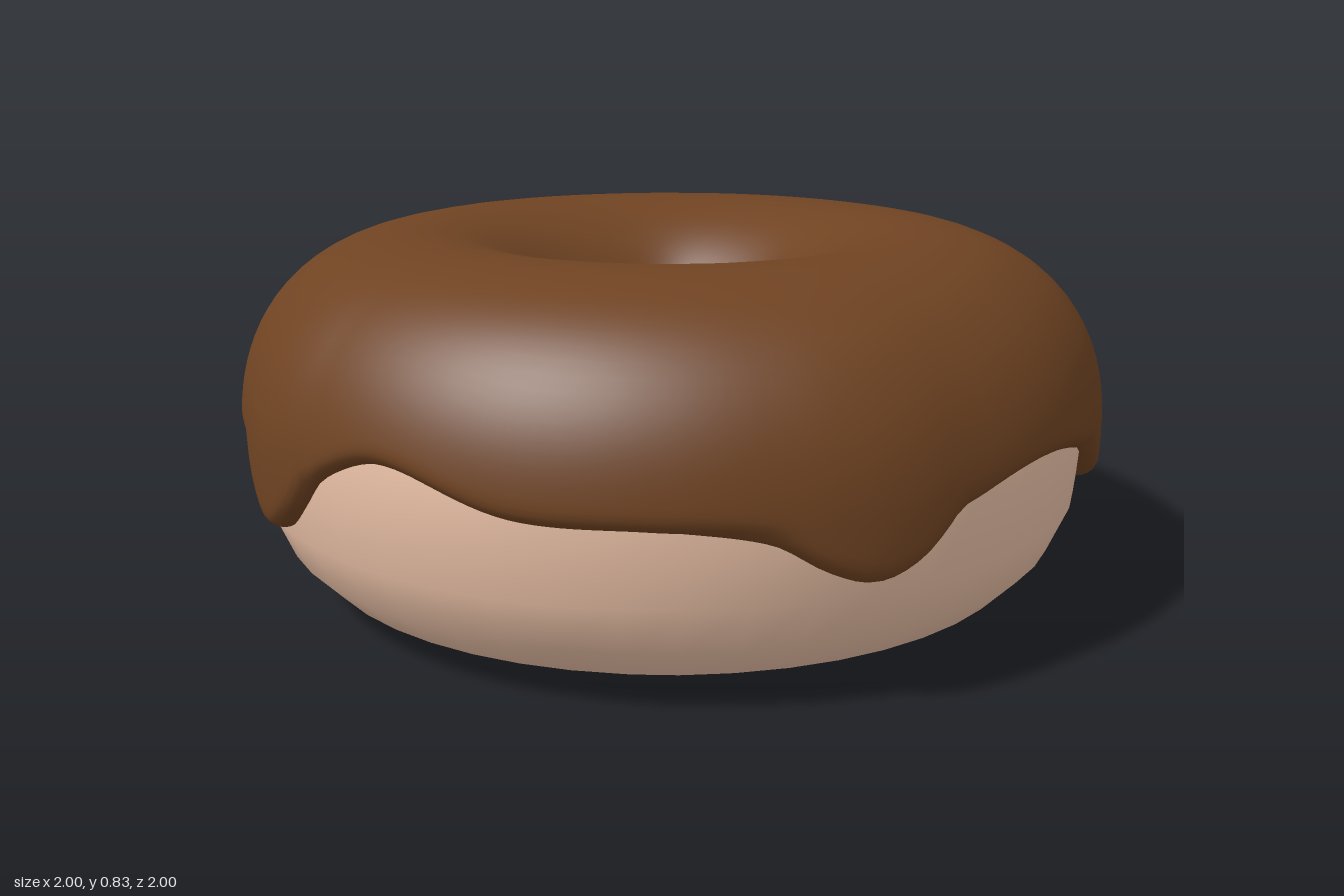
import * as THREE from 'three';

const RING = 0.58; // radius of the ring's centre line
const MID = 0.4;   // height of the ring's centre line

// Lower edge of the icing around the outside: [degrees from +x towards +z, height]
const HEM = [
  [3, 0.41], [11, 0.37], [22, 0.41], [31, 0.39], [40, 0.3], [47.5, 0.255], [53, 0.29],
  [62, 0.39], [78, 0.44], [93, 0.39], [100, 0.3], [105.5, 0.27], [111, 0.3], [118, 0.37],
  [130, 0.4], [147, 0.41], [164, 0.48], [174, 0.42], [181, 0.31], [187, 0.25], [192, 0.31],
  [198, 0.4], [212, 0.385], [230, 0.41], [248, 0.39], [256, 0.31], [262, 0.265], [269, 0.3],
  [279, 0.385], [304, 0.41], [324, 0.365], [342, 0.385], [354, 0.41],
];

// Smooth cyclic interpolation of the hem table
function hemHeight(deg) {
  const n = HEM.length;
  const at = (i) => {
    const k = ((i % n) + n) % n;
    return [HEM[k][0] + 360 * Math.floor(i / n), HEM[k][1]];
  };
  const d = deg < HEM[0][0] ? deg + 360 : deg;
  let i = 0;
  while (at(i + 1)[0] <= d) i++;
  const [p, a, b, q] = [at(i - 1), at(i), at(i + 1), at(i + 2)];
  const w = b[0] - a[0];
  const s = (d - a[0]) / w;
  const ma = ((b[1] - p[1]) / (b[0] - p[0])) * w;
  const mb = ((q[1] - a[1]) / (q[0] - a[0])) * w;
  const s2 = s * s, s3 = s2 * s;
  return (2 * s3 - 3 * s2 + 1) * a[1] + (s3 - 2 * s2 + s) * ma
    + (3 * s2 - 2 * s3) * b[1] + (s3 - s2) * mb;
}

// Squareness of the cross-section: fuller on the outer underside
const fullness = (t) => (Math.cos(t) < 0 ? 2 : Math.sin(t) < 0 ? 2.5 : 2.2);

// Point on the ring; t runs from the outside (0) over the top to the hole (PI)
function ringPoint(phi, t, rx, ry, push = 0) {
  const e = 2 / fullness(t);
  const c = Math.cos(t), s = Math.sin(t);
  const r = RING + push + rx * Math.sign(c) * Math.abs(c) ** e;
  const y = MID + ry * Math.sign(s) * Math.abs(s) ** e;
  return [r * Math.cos(phi), y, r * Math.sin(phi)];
}

// Grid surface closed around the ring, optionally also around the section
function ringSurface(nPhi, nT, closed, point) {
  const rows = closed ? nT : nT + 1;
  const pos = [], index = [];
  for (let i = 0; i < nPhi; i++) {
    for (let j = 0; j < rows; j++) pos.push(...point((i / nPhi) * Math.PI * 2, j / nT));
  }
  for (let i = 0; i < nPhi; i++) {
    for (let j = 0; j < nT; j++) {
      const k = (i + 1) % nPhi, m = (j + 1) % rows;
      const a = i * rows + j, b = i * rows + m, c = k * rows + j, d = k * rows + m;
      index.push(a, b, c, b, d, c);
    }
  }
  const g = new THREE.BufferGeometry();
  g.setAttribute('position', new THREE.Float32BufferAttribute(pos, 3));
  g.setIndex(index);
  g.computeVertexNormals();
  return g;
}

export function createModel() {
  const group = new THREE.Group();
  group.name = 'doughnut';
  const add = (name, geometry, color) => {
    const mesh = new THREE.Mesh(geometry, new THREE.MeshStandardMaterial({ color }));
    mesh.name = name;
    group.add(mesh);
  };

  // Dough ring
  add('dough', ringSurface(48, 20, true,
    (phi, v) => ringPoint(phi, v * Math.PI * 2, 0.39, 0.4)), 0xe8bfa5);

  // Icing: a shell over the top with a wavy, dripping hem and a rounded lip
  const icingPoint = (phi, v) => {
    const hem = hemHeight((phi * 180) / Math.PI);
    const dy = hem - MID;
    const n = dy < 0 ? 2.5 : 2.2;
    const start = Math.sign(dy) * Math.asin((Math.abs(dy) / 0.42) ** (n / 2));
    const end = Math.PI - 0.05 - 0.08 * Math.sin(3 * phi + 1);
    // rows crowd towards both edges to round the lips
    const u = (1 - Math.cos(Math.PI * v)) / 2;
    const t = start + (end - start) * u;
    const edge = Math.min(1, Math.min(u, 1 - u) / 0.025);
    const offset = -0.012 + 0.04 * Math.sqrt(1 - (1 - edge) ** 2);
    // drips bulge outwards, the hole is slightly uneven
    const outer = Math.max(0, Math.cos(t)) * Math.max(0, 0.4 - hem) * 0.09 * edge;
    const inner = Math.max(0, -Math.cos(t)) * edge
      * (0.008 * Math.sin(phi * 2 + 2.4) + 0.006 * Math.sin(phi * 5) - 0.004);
    return ringPoint(phi, t, 0.39 + offset, 0.4 + offset, outer + inner);
  };
  add('icing', ringSurface(240, 48, false, icingPoint), 0x6f4322);

  return group;
}
